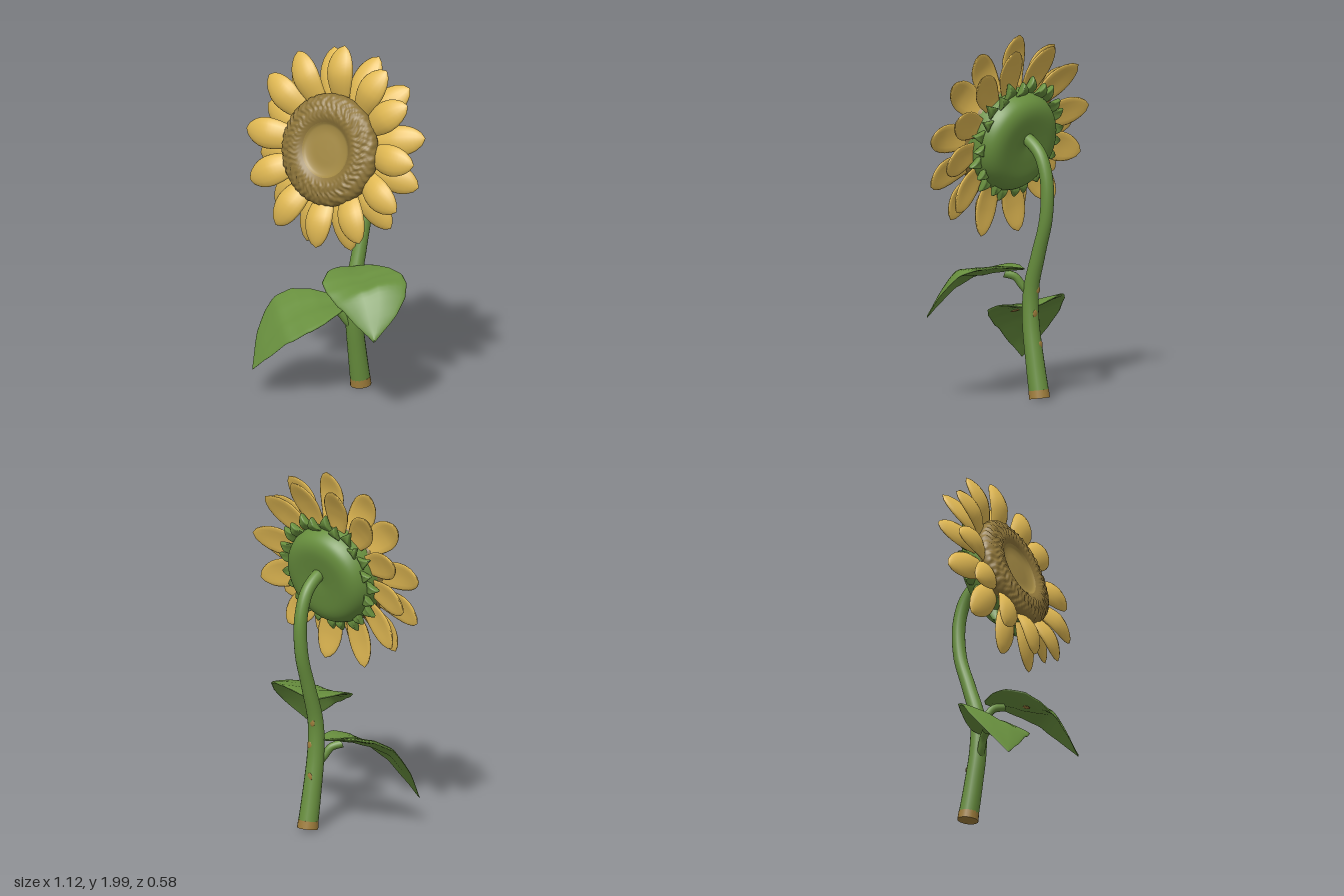
import * as THREE from 'three';

const paint = (name, color) => {
  const m = new THREE.MeshStandardMaterial({ color });
  m.name = name;
  return m;
};

function part(name, geometry, material, parent) {
  const mesh = new THREE.Mesh(geometry, material);
  mesh.name = name;
  parent.add(mesh);
  return mesh;
}

// Skin over closed rings of [x, y, z] points
function loft(rings) {
  const n = rings[0].length, index = [];
  for (let i = 0; i < rings.length - 1; i++) {
    for (let j = 0; j < n; j++) {
      const k = (j + 1) % n;
      const a = i * n + j, b = i * n + k, c = (i + 1) * n + k, d = (i + 1) * n + j;
      index.push(a, b, c, a, c, d);
    }
  }
  const g = new THREE.BufferGeometry();
  g.setAttribute('position', new THREE.Float32BufferAttribute(rings.flat(2), 3));
  g.setIndex(index);
  g.computeVertexNormals();
  return g;
}

const ring = (n, f) => Array.from({ length: n }, (_, j) => {
  const a = (j / n) * Math.PI * 2;
  return f(Math.cos(a), Math.sin(a));
});

// Linear lookup in a list of [position, value] pairs
function sample(table, t) {
  for (let i = 1; i < table.length; i++) {
    const [t0, v0] = table[i - 1], [t1, v1] = table[i];
    if (t <= t1) return v0 + (v1 - v0) * (t - t0) / (t1 - t0);
  }
  return table[table.length - 1][1];
}

// Blade pointing along +y, from radius r0 to r1, with height z0 to z1
function blade({ r0, r1, width, thick, z0, z1, bulge, shape }) {
  const steps = 16, rings = [];
  for (let i = 0; i <= steps; i++) {
    const t = i / steps, arch = Math.sin(Math.PI * t);
    const w = Math.max(sample(shape, t), 0.002) * width;
    const h = thick * Math.min(1, 0.5 + t) * Math.sqrt(Math.max(1 - t ** 4, 0.001));
    const z = z0 + (z1 - z0) * t + bulge * arch;
    rings.push(ring(14, (c, s) => [c * w, r0 + (r1 - r0) * t, z - s * h - 0.02 * c * c * arch]));
  }
  return loft(rings);
}

const petalShape = [[0, 0.55], [0.2, 0.76], [0.4, 0.95], [0.55, 1], [0.7, 0.92], [0.82, 0.74], [0.92, 0.48], [0.97, 0.28], [1, 0]];
const sepalShape = [[0, 1], [0.3, 0.95], [0.6, 0.6], [1, 0]];

function lathe(profile, segments) {
  const curve = new THREE.SplineCurve(profile.map(([r, h]) => new THREE.Vector2(r, h)));
  const pts = curve.getPoints(40);
  pts.forEach(p => { p.x = Math.max(p.x, 0); });
  return new THREE.LatheGeometry(pts, segments).rotateX(Math.PI / 2);
}

// Stem bending back, then forward into the head
function stemGeometry() {
  const curve = new THREE.CatmullRomCurve3([
    [0.02, -0.197], [0.2, -0.165], [0.42, -0.133], [0.6, -0.135], [0.8, -0.19], [1.0, -0.247],
    [1.2, -0.253], [1.34, -0.207], [1.41, -0.13], [1.44, -0.05],
  ].map(([y, z]) => new THREE.Vector3(0, y, z)));
  const rings = [];
  for (let i = 0; i <= 60; i++) {
    const t = i / 60, p = curve.getPoint(t), d = curve.getTangent(t);
    const r = sample([[0, 0.056], [0.25, 0.046], [0.5, 0.037], [1, 0.035]], t);
    rings.push(ring(18, (c, s) => [c * r, p.y + s * r * d.z, p.z - s * r * d.y]));
  }
  return loft(rings);
}

// Drooping spade leaf along +z; the inner side is +x, hump raises the middle
function leafGeometry(drop, hump) {
  const inner = [[0.03, 0], [0.05, 0.09], [0.1, 0.16], [0.2, 0.215], [0.28, 0.205], [0.37, 0.165], [0.48, 0.08], [0.56, 0]];
  const outer = [[0.03, 0], [0.05, 0.06], [0.1, 0.105], [0.2, 0.165], [0.3, 0.21], [0.38, 0.22], [0.45, 0.195], [0.51, 0.13], [0.56, 0]];
  const height = [[0, 0], [0.1, 0.005], [0.2, 0], [0.3, -0.03], [0.4, -0.1], [0.5, -0.24], [0.56, -0.345]];
  const rings = [];
  for (let i = 0; i <= 28; i++) {
    const s = 0.03 + 0.53 * i / 28;
    const edge = Math.sin(Math.PI * i / 28);
    rings.push(ring(24, (c, sn) => {
      const x = c * Math.max(sample(c > 0 ? inner : outer, s), 0.001);
      const rib = 0.01 * Math.exp(-((x / 0.02) ** 2)) * edge;
      const lift = 0.15 * Math.abs(x) * Math.exp(-((s / 0.2) ** 2))
        + hump * (1 - c * c) * Math.exp(-(((s - 0.42) / 0.1) ** 2));
      const skin = Math.sign(sn) * Math.sqrt(Math.abs(sn)) * (0.004 + 0.009 * edge);
      return [x, drop * (sample(height, s) - 1.05 * s * x) + lift + skin - rib, s];
    }));
  }
  return loft(rings);
}

export function createModel() {
  const model = new THREE.Group();
  model.name = 'sunflower';
  const yellow = paint('petal yellow', 0xe1b953);
  const green = paint('leaf green', 0x688f3e);
  const seedBrown = paint('seed brown', 0x8f763a);
  const seedLight = paint('seed centre', 0xa48a44);
  const bark = paint('cut stem brown', 0xa07e3c);

  // Stem and its cut end
  part('stem', stemGeometry(), green, model);
  const cut = part('cutStemEnd', new THREE.CylinderGeometry(0.056, 0.058, 0.045, 20), bark, model);
  cut.position.set(0, 0.031, -0.195);
  cut.rotation.x = 0.14;

  // Small dry spots on the back of the stem
  const spot = new THREE.SphereGeometry(1, 12, 8);
  for (const [x, y, z] of [[-0.012, 0.3, -0.194], [0.008, 0.47, -0.173], [-0.012, 0.6, -0.174]]) {
    const mark = part('stemSpot', spot, bark, model);
    mark.position.set(x, y, z);
    mark.scale.set(0.018, 0.021, 0.005);
  }

  // Two leaves on short stalks, one mirrored
  const stalk = new THREE.CatmullRomCurve3([[-0.15, -0.01], [-0.09, 0.04], [-0.04, 0.08], [-0.022, 0.14]]
    .map(([y, z]) => new THREE.Vector3(0, y, z)));
  for (const [name, mirror, y, yaw, drop, hump] of [
    ['rightLeaf', 1, 0.49, -0.735, 0.98, 0.02],
    ['leftLeaf', -1, 0.71, -0.83, 0.76, 0.06],
  ]) {
    const side = new THREE.Group();
    side.name = name;
    side.scale.x = mirror;
    side.position.set(0, y, -0.125);
    const turn = new THREE.Group();
    turn.name = name + 'Turn';
    turn.rotation.y = yaw;
    side.add(turn);
    part(name + 'Blade', leafGeometry(drop, hump), green, turn);
    part(name + 'Stalk', new THREE.TubeGeometry(stalk, 14, 0.022, 10), green, turn);
    const mark = part(name + 'Spot', spot, bark, turn);
    mark.position.set(0.06, -0.031 * drop - 0.012, 0.25);
    mark.rotation.set(0.3 * drop, 0, -0.26 * drop);
    mark.scale.set(0.026, 0.005, 0.02);
    model.add(side);
  }

  // Flower head, leaning back
  const head = new THREE.Group();
  head.name = 'flowerHead';
  head.position.set(0, 1.445, 0.085);
  head.rotation.x = -0.245;
  model.add(head);

  // Seed disc and cup sit a little below the petal centre
  const core = new THREE.Group();
  core.name = 'headCore';
  core.position.y = -0.018;
  head.add(core);
  part('cup', lathe([[0, -0.197], [0.1, -0.204], [0.19, -0.203], [0.245, -0.178], [0.277, -0.125], [0.287, -0.06], [0.287, -0.01]], 48), green, core);

  // Ring of seeds with a rough, streaky surface
  const seeds = lathe([[0.292, -0.04], [0.308, -0.01], [0.3, 0.024], [0.268, 0.048], [0.215, 0.063], [0.18, 0.06], [0.15, 0.045]], 200);
  const pos = seeds.attributes.position;
  for (let i = 0; i < pos.count; i++) {
    const x = pos.getX(i), y = pos.getY(i), a = Math.atan2(y, x), r = Math.hypot(x, y);
    const rough = THREE.MathUtils.smoothstep(r, 0.16, 0.22);
    const bump = 0.003 * rough * (Math.sin(47 * a + 2 * Math.sin(r * 90)) + 0.8 * Math.sin(31 * a + 3 * Math.sin(r * 50 + 4 * a)));
    pos.setXYZ(i, x * (1 + bump), y * (1 + bump), pos.getZ(i) + bump);
  }
  seeds.computeVertexNormals();
  part('seedRing', seeds, seedBrown, core);
  part('seedCentre', lathe([[0.152, 0.047], [0.135, 0.036], [0.1, 0.03], [0.05, 0.031], [0, 0.032]], 48), seedLight, core);

  // Blades around the head, at angles in degrees from the right side
  function circle(name, angles, geometry, material) {
    for (const a of angles) {
      part(name, geometry, material, head).rotation.z = THREE.MathUtils.degToRad(a - 90);
    }
  }
  const bothSides = angles => angles.flatMap(a => [a, 180 - a]);
  const even = offset => Array.from({ length: 12 }, (_, i) => i * 30 + offset);

  circle('frontPetal', [90, -90, ...bothSides([58, 34, 0, -29, -60])], blade({
    r0: 0.23, r1: 0.56, width: 0.086, thick: 0.021, z0: -0.05, z1: 0.002, bulge: 0.052, shape: petalShape,
  }), yellow);
  circle('backPetal', bothSides([74, 46, 15, -14, -45]), blade({
    r0: 0.23, r1: 0.545, width: 0.084, thick: 0.021, z0: -0.06, z1: -0.122, bulge: 0.028, shape: petalShape,
  }), yellow);
  circle('lowerBackPetal', bothSides([-75]), blade({
    r0: 0.23, r1: 0.57, width: 0.084, thick: 0.021, z0: -0.06, z1: -0.122, bulge: 0.028, shape: petalShape,
  }), yellow);
  circle('longSepal', even(7.5), blade({
    r0: 0.24, r1: 0.36, width: 0.04, thick: 0.025, z0: -0.08, z1: -0.11, bulge: -0.012, shape: sepalShape,
  }), green);
  circle('shortSepal', even(22.5), blade({
    r0: 0.24, r1: 0.34, width: 0.038, thick: 0.025, z0: -0.1, z1: -0.13, bulge: -0.01, shape: sepalShape,
  }), green);

  return model;
}
